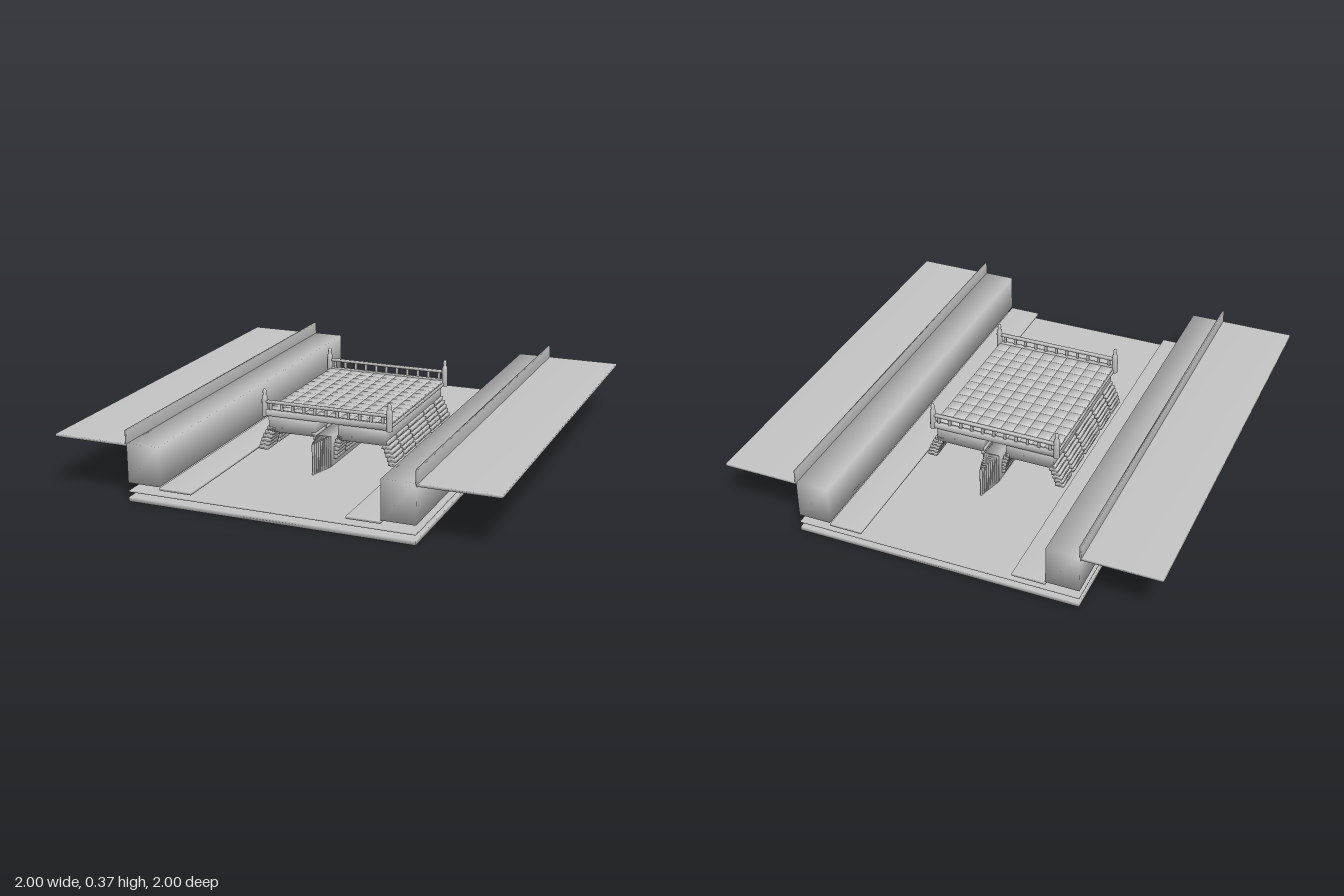
import * as THREE from 'three';
import { mergeVertices } from 'three/addons/utils/BufferGeometryUtils.js';

const stone = new THREE.MeshStandardMaterial({ color: 0xc4c4c4 });
stone.name = 'grey stone';

// Box given by its limits, with normals shared across the corners
function block(parent, name, x0, x1, y0, y1, z0, z1) {
  let geo = new THREE.BoxGeometry(Math.abs(x1 - x0), y1 - y0, z1 - z0);
  geo.deleteAttribute('normal');
  geo.deleteAttribute('uv');
  geo = mergeVertices(geo);
  geo.computeVertexNormals();
  const mesh = new THREE.Mesh(geo, stone);
  mesh.name = name;
  mesh.position.set((x0 + x1) / 2, (y0 + y1) / 2, (z0 + z1) / 2);
  parent.add(mesh);
  return mesh;
}

function group(parent, name) {
  const g = new THREE.Group();
  g.name = name;
  parent.add(g);
  return g;
}

export function createModel() {
  const model = new THREE.Group();
  model.name = 'canalBridge';

  // Canal bottom and water sheet
  block(model, 'canalBed', -0.65, 0.65, 0, 0.02, -1, 1);
  block(model, 'water', -0.65, 0.65, 0.043, 0.049, -1, 1);

  // Banks on both sides
  for (const s of [-1, 1]) {
    const bank = group(model, s > 0 ? 'leftBank' : 'rightBank');
    block(bank, 'ledge', s * 0.35, s * 0.5, 0.07, 0.081, -1, 1);
    block(bank, 'quayWall', s * 0.5, s * 0.65, 0.085, 0.262, -1, 1);
    block(bank, 'pavement', s * 0.65, s * 1, 0.249, 0.261, -1, 1);
    block(bank, 'parapet', s * 0.646, s * 0.656, 0.249, 0.32, -1, 1);
  }

  const bridge = group(model, 'bridge');

  // Deck with paving stones
  block(bridge, 'deckSlab', -0.3, 0.3, 0.243, 0.256, -0.375, 0.375);
  const paving = group(bridge, 'paving');
  const nx = 10, nz = 12, px = 0.59 / nx, pz = 0.73 / nz;
  for (let i = 0; i < nx; i++) {
    for (let j = 0; j < nz; j++) {
      const x = -0.295 + i * px, z = -0.365 + j * pz;
      block(paving, 'paver', x + 0.001, x + px - 0.001, 0.252, 0.268, z + 0.001, z + pz - 0.001);
    }
  }

  // Railings along both open edges
  for (const s of [-1, 1]) {
    const rail = group(bridge, s > 0 ? 'frontRailing' : 'backRailing');
    const z = s * 0.377;
    block(rail, 'bottomRail', -0.295, 0.295, 0.245, 0.273, z - 0.008, z + 0.008);
    block(rail, 'topRail', -0.295, 0.295, 0.304, 0.316, z - 0.008, z + 0.008);
    for (let i = 0; i < 11; i++) {
      const x = -0.27 + i * 0.054;
      block(rail, 'baluster', x - 0.006, x + 0.006, 0.272, 0.305, z - 0.005, z + 0.005);
    }
  }

  // Corner posts with rounded caps
  const postProfile = [[0, 0.24], [0.014, 0.24], [0.014, 0.315], [0.012, 0.335],
    [0.008, 0.34], [0.009, 0.355], [0.007, 0.366], [0, 0.37]].map(p => new THREE.Vector2(...p));
  const postGeo = new THREE.LatheGeometry(postProfile, 10);
  for (const x of [-0.3, 0.3]) {
    for (const z of [-0.376, 0.376]) {
      const post = new THREE.Mesh(postGeo, stone);
      post.name = 'cornerPost';
      post.position.set(x, 0, z);
      bridge.add(post);
    }
  }

  // Two spans, each carried by stepped arch stones
  const ribs = [[-0.37, -0.265], [-0.245, -0.115], [-0.095, 0.095], [0.115, 0.245], [0.265, 0.37]];
  for (const s of [-1, 1]) {
    const span = group(bridge, s > 0 ? 'leftSpan' : 'rightSpan');
    block(span, 'girder', s * 0.055, s * 0.285, 0.168, 0.246, -0.37, 0.37);
    const courses = 6, h = 0.112 / courses;
    for (let i = 0; i < courses; i++) {
      const t = i / (courses - 1), y = 0.077 + i * h;
      const outer = 0.334 - 0.04 * Math.pow(t, 1.4);
      const inner = 0.028 + 0.026 * Math.pow(t, 1.4);
      for (const [z0, z1] of ribs) {
        block(span, 'abutmentStone', s * (outer - 0.042), s * outer, y, y + h - 0.001, z0, z1);
        block(span, 'pierStone', s * (inner - 0.005), s * (inner + 0.018), y, y + h - 0.001, z0, z1);
      }
    }
  }

  // Middle pier with pointed, stepped cutwaters
  const pier = group(bridge, 'middlePier');
  block(pier, 'pierBody', -0.034, 0.034, 0.03, 0.19, -0.4, 0.4);
  const steps = 9, depth = 0.13 / steps;
  for (const s of [-1, 1]) {
    for (let i = 0; i < steps; i++) {
      const w = 0.034 * (1 - i / steps), z = s * (0.4 + (i + 0.5) * depth);
      block(pier, 'cutwaterSlab', -w, w, 0.03, 0.19, z - depth / 2 + 0.001, z + depth / 2 - 0.001);
    }
  }
  return model;
}
